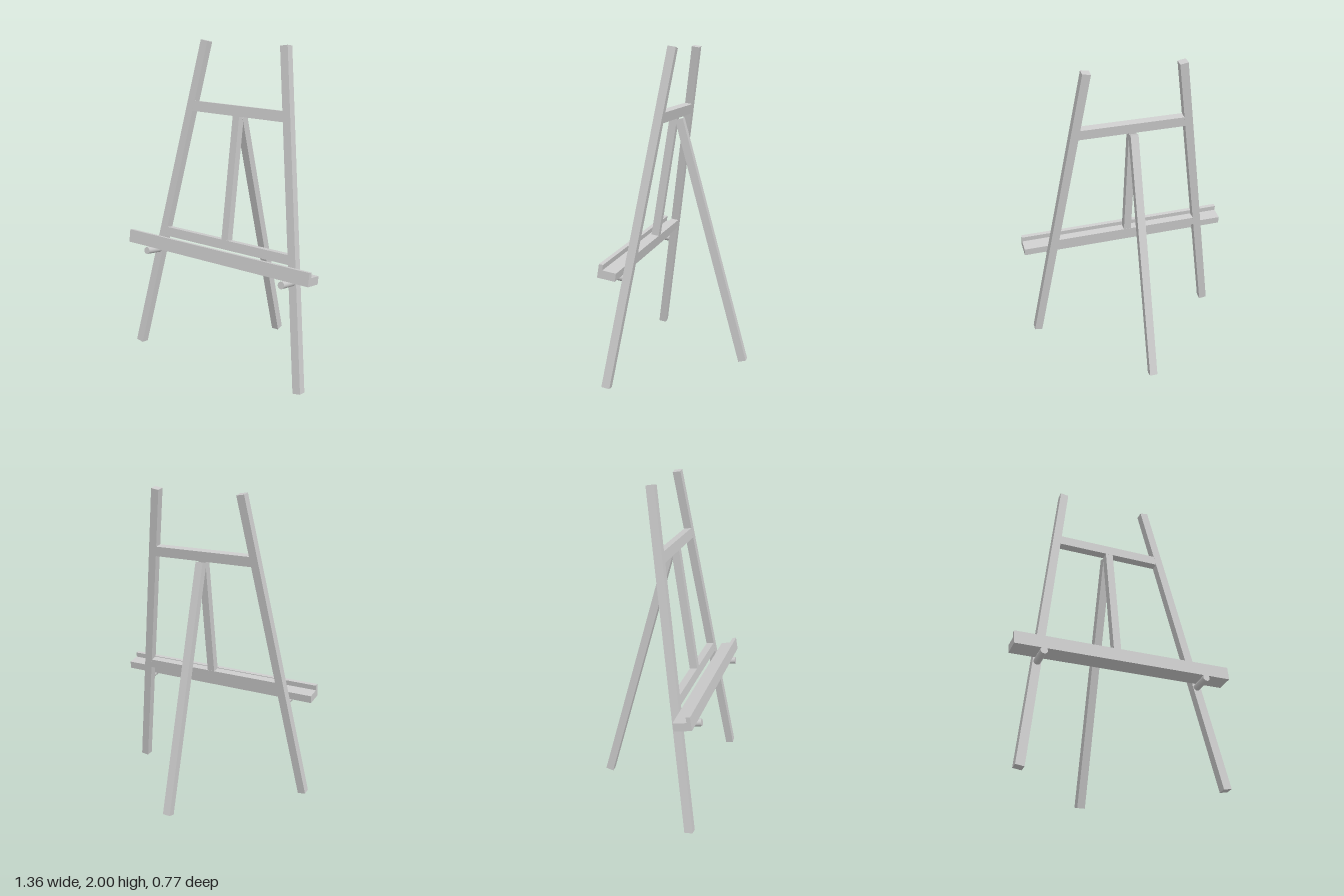
import * as THREE from 'three';

const material = new THREE.MeshStandardMaterial({ color: 0xcccccc, flatShading: true });

function addMesh(parent, name, geometry) {
  const mesh = new THREE.Mesh(geometry, material);
  mesh.name = name;
  parent.add(mesh);
  return mesh;
}

// box given by its centre and size
function addBox(parent, name, [x, y, z], [w, h, d]) {
  const mesh = addMesh(parent, name, new THREE.BoxGeometry(w, h, d));
  mesh.position.set(x, y, z);
  return mesh;
}

// square-cut bar running between two points
function addBar(parent, name, from, to, width, depth) {
  const a = new THREE.Vector3(...from);
  const b = new THREE.Vector3(...to);
  const dir = b.clone().sub(a);
  const mesh = addMesh(parent, name, new THREE.BoxGeometry(width, dir.length(), depth));
  mesh.position.copy(a).add(b).multiplyScalar(0.5);
  mesh.quaternion.setFromUnitVectors(new THREE.Vector3(0, 1, 0), dir.normalize());
  return mesh;
}

export function createModel() {
  const easel = new THREE.Group();
  easel.name = 'easel';

  // front frame, built upright and leaned back as a whole
  const frame = new THREE.Group();
  frame.name = 'frontFrame';
  frame.position.set(0, 0.01, 0.345);
  frame.rotation.x = -Math.atan2(0.325, 1.98);
  easel.add(frame);

  for (const [side, s] of [['left', 1], ['right', -1]]) {
    addBar(frame, side + 'FrontLeg', [s * 0.62, 0, 0], [s * 0.292, 2.006, 0], 0.052, 0.05);

    // round peg under the tray
    const peg = addMesh(frame, side + 'Peg', new THREE.CylinderGeometry(0.022, 0.022, 0.147, 20));
    peg.material = new THREE.MeshStandardMaterial({ color: 0xcccccc });
    peg.rotation.x = Math.PI / 2;
    peg.position.set(s * 0.513, 0.653, 0.0735);
  }

  // rails and centre post
  addBox(frame, 'topRail', [0, 1.6, 0], [0.7, 0.064, 0.049]);
  addBox(frame, 'lowerRail', [0, 0.777, 0], [0.97, 0.058, 0.049]);
  addBox(frame, 'centrePost', [0, 1.187, 0], [0.048, 0.77, 0.048]);

  // tray with a raised front lip, extruded along x
  const profile = new THREE.Shape(
    [[0.025, 0.678], [0.133, 0.678], [0.133, 0.76], [0.108, 0.76], [0.108, 0.727], [0.025, 0.727]]
      .map(([z, y]) => new THREE.Vector2(-z, y))
  );
  const trayGeometry = new THREE.ExtrudeGeometry(profile, { depth: 1.364, bevelEnabled: false });
  trayGeometry.translate(0, 0, -0.682).rotateY(Math.PI / 2);
  addMesh(frame, 'tray', trayGeometry);

  // rear support leg
  addBar(easel, 'rearLeg', [0, 0.007, -0.36], [0, 1.55, 0.055], 0.05, 0.05);

  return easel;
}
